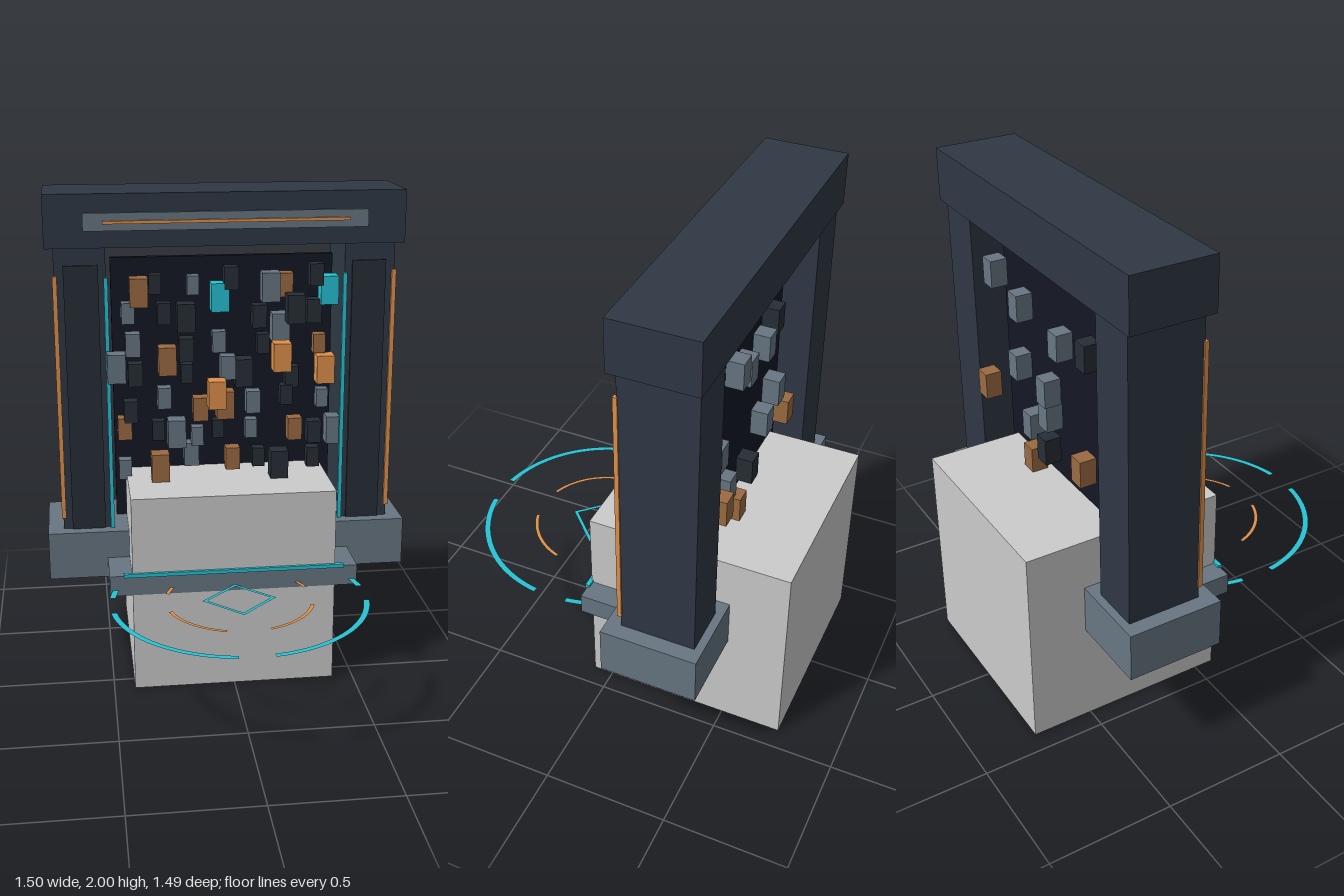
import * as THREE from 'three';

const mat = (color, side = THREE.FrontSide) =>
  new THREE.MeshStandardMaterial({ color, side });
const M = {
  grey: mat(0xcccccc), beam: mat(0x2f3845), dark: mat(0x262e36), slate: mat(0x687782),
  night: mat(0x141824), brown: mat(0x9c6b42), orange: mat(0xe0914a), cyan: mat(0x28c3d4),
  cyanFlat: mat(0x28c3d4, THREE.DoubleSide), orangeFlat: mat(0xe0914a, THREE.DoubleSide),
};

// Box given by its extents along each axis
function box(parent, name, material, [x0, x1], [y0, y1], [z0, z1]) {
  const mesh = new THREE.Mesh(new THREE.BoxGeometry(x1 - x0, y1 - y0, z1 - z0), material);
  mesh.position.set((x0 + x1) / 2, (y0 + y1) / 2, (z0 + z1) / 2);
  mesh.name = name;
  parent.add(mesh);
}

// Upright floating block, centred at x, y with its front face at z
function block(parent, name, material, x, y, z, w) {
  const h = w * 1.6;
  box(parent, name, material, [x - w / 2, x + w / 2], [y - h / 2, y + h / 2], [z - w, z]);
}

// Flat ring section lying level
function floorArc(parent, name, material, inner, outer, segments, start, length) {
  const geo = new THREE.RingGeometry(inner, outer, segments, 1, start, length);
  geo.rotateX(-Math.PI / 2);
  const mesh = new THREE.Mesh(geo, material);
  mesh.position.set(0, 0.445, 0.23);
  mesh.name = name;
  parent.add(mesh);
}

function seeded(seed) {
  return () => {
    seed = (seed * 16807) % 2147483647;
    return seed / 2147483647;
  };
}

// Larger blocks before the wall: colour, x, y, front z
const FEATURED = [
  ['cyan', -0.02, 1.57, -0.22], ['cyan', 0.43, 1.59, -0.22], ['orange', -0.04, 1.18, -0.15],
  ['orange', 0.22, 1.34, -0.11], ['orange', 0.41, 1.27, -0.17], ['brown', -0.35, 1.6, -0.2],
  ['brown', -0.24, 1.32, -0.18], ['brown', 0, 1.12, -0.21], ['brown', -0.28, 0.89, -0.11],
  ['slate', 0.17, 1.63, -0.1], ['slate', -0.45, 1.32, -0.08], ['slate', 0.23, 1.44, -0.22],
  ['slate', 0.46, 1, -0.2], ['slate', -0.21, 1.03, -0.12], ['dark', 0.28, 1.53, -0.14],
  ['dark', -0.16, 1.49, -0.21], ['dark', 0.08, 1.25, -0.23], ['dark', 0.21, 0.89, -0.1],
];
// Larger blocks behind the wall: colour, x, y
const REAR = [
  ['slate', 0.31, 1.63], ['slate', 0.16, 1.54], ['slate', -0.1, 1.48], ['slate', 0.29, 1.22],
  ['brown', 0.42, 1.1], ['brown', -0.3, 1.06], ['brown', 0.14, 0.88], ['slate', 0.19, 1],
  ['slate', -0.09, 1.3], ['slate', -0.05, 1.17], ['dark', 0.02, 0.98], ['dark', -0.26, 1.5],
];

export function createModel() {
  const g = new THREE.Group();
  g.name = 'portalGate';

  // Core block, front step and wall
  box(g, 'coreBlock', M.grey, [-0.415, 0.415], [0, 0.83], [-0.748, 0.081]);
  box(g, 'frontStep', M.slate, [-0.507, 0.507], [0.42, 0.505], [-0.12, 0.084]);
  box(g, 'stepLight', M.cyan, [-0.45, 0.45], [0.5, 0.515], [0.075, 0.093]);
  box(g, 'backWall', M.night, [-0.458, 0.458], [0.55, 1.725], [-0.355, -0.325]);

  // Lintel with its plate and light line
  box(g, 'lintel', M.beam, [-0.718, 0.718], [1.79, 2], [-0.495, -0.157]);
  box(g, 'lintelPlate', M.slate, [-0.565, 0.565], [1.857, 1.927], [-0.17, -0.148]);
  box(g, 'lintelLight', M.orange, [-0.488, 0.488], [1.885, 1.897], [-0.15, -0.136]);

  // Pillars, mirrored
  for (const s of [-1, 1]) {
    const side = new THREE.Group();
    side.name = s > 0 ? 'leftPillar' : 'rightPillar';
    const span = (a, b) => (s > 0 ? [a, b] : [-b, -a]);
    box(side, 'pillarBase', M.slate, span(0.41, 0.748), [0.42, 0.62], [-0.513, -0.122]);
    box(side, 'pillarShaft', M.beam, span(0.48, 0.684), [0.62, 1.79], [-0.48, -0.18]);
    box(side, 'pillarPanel', M.dark, span(0.51, 0.647), [0.62, 1.72], [-0.19, -0.17]);
    box(side, 'innerLight', M.cyan, span(0.473, 0.489), [0.62, 1.67], [-0.185, -0.168]);
    box(side, 'outerLight', M.orange, span(0.672, 0.69), [0.67, 1.68], [-0.185, -0.168]);
    g.add(side);
  }

  // Floating blocks on both faces of the wall
  const debris = new THREE.Group();
  debris.name = 'floatingBlocks';
  for (const [c, x, y, z] of FEATURED) block(debris, 'largeBlock', M[c], x, y, z, 0.073);
  REAR.forEach(([c, x, y], i) =>
    block(debris, 'rearBlock', M[c], x, y, -0.43 + 0.025 * (i % 4), 0.068));

  // Smaller blocks on a jittered grid, left out where a large one already sits
  const rand = seeded(77);
  const tones = [M.slate, M.dark, M.slate, M.brown, M.dark];
  for (let row = 0; row < 7; row++) {
    for (let col = 0; col < 7; col++) {
      const x = -0.39 + col * 0.13 + (rand() - 0.5) * 0.06;
      const y = 0.88 + row * 0.125 + (rand() - 0.5) * 0.06;
      const z = -0.2 - rand() * 0.05;
      const w = 0.048 + rand() * 0.014;
      const taken = FEATURED.some(([, fx, fy]) => Math.hypot(fx - x, (fy - y) * 0.7) < 0.065);
      if (!taken) block(debris, 'smallBlock', tones[(row * 3 + col) % 5], x, y, z, w);
    }
  }
  g.add(debris);

  // Level markings: two broken rings and a diamond
  const marks = new THREE.Group();
  marks.name = 'floorMarkings';
  for (let i = 0; i < 4; i++) {
    const a = (i * Math.PI) / 2;
    floorArc(marks, 'outerArc', M.cyanFlat, 0.492, 0.516, 24, a + 0.135, Math.PI / 2 - 0.27);
    floorArc(marks, 'innerArc', M.orangeFlat, 0.285, 0.3, 20, a + 0.29, Math.PI / 2 - 0.58);
  }
  floorArc(marks, 'diamond', M.cyanFlat, 0.127, 0.148, 4, 0, Math.PI * 2);
  g.add(marks);
  return g;
}
